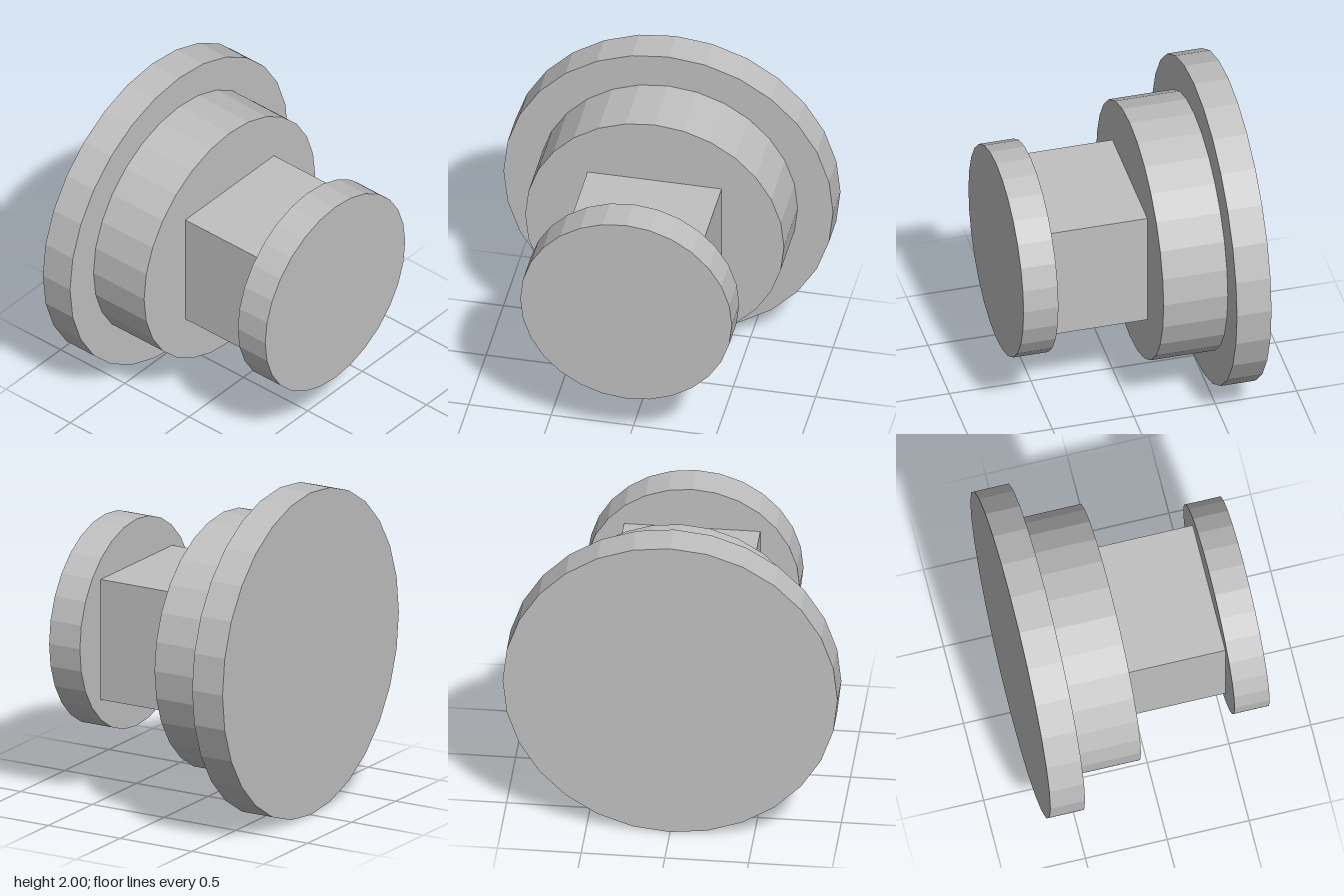
import * as THREE from 'three';

export function createModel() {
  const group = new THREE.Group();
  const grey = new THREE.MeshStandardMaterial({ color: 0xc0c0c0, flatShading: true });
  grey.name = 'grey';

  // Adds a part spanning z0..z1 along the common axis at y = 1
  function addPart(name, geometry, z0, z1) {
    const mesh = new THREE.Mesh(geometry, grey);
    mesh.name = name;
    mesh.position.set(0, 1, (z0 + z1) / 2);
    group.add(mesh);
  }

  // Faceted discs, from back to front
  const discs = [
    ['backFlange', 1, -0.714, -0.502],
    ['hub', 0.785, -0.502, -0.108],
    ['frontDisc', 0.642, 0.5, 0.714],
  ];
  for (const [name, radius, z0, z1] of discs) {
    const geometry = new THREE.CylinderGeometry(radius, radius, z1 - z0, 28).rotateX(Math.PI / 2);
    addPart(name, geometry, z0, z1);
  }

  // Rectangular neck joining the hub to the front disc
  addPart('neck', new THREE.BoxGeometry(0.814, 0.746, 0.608), -0.108, 0.5);

  return group;
}
